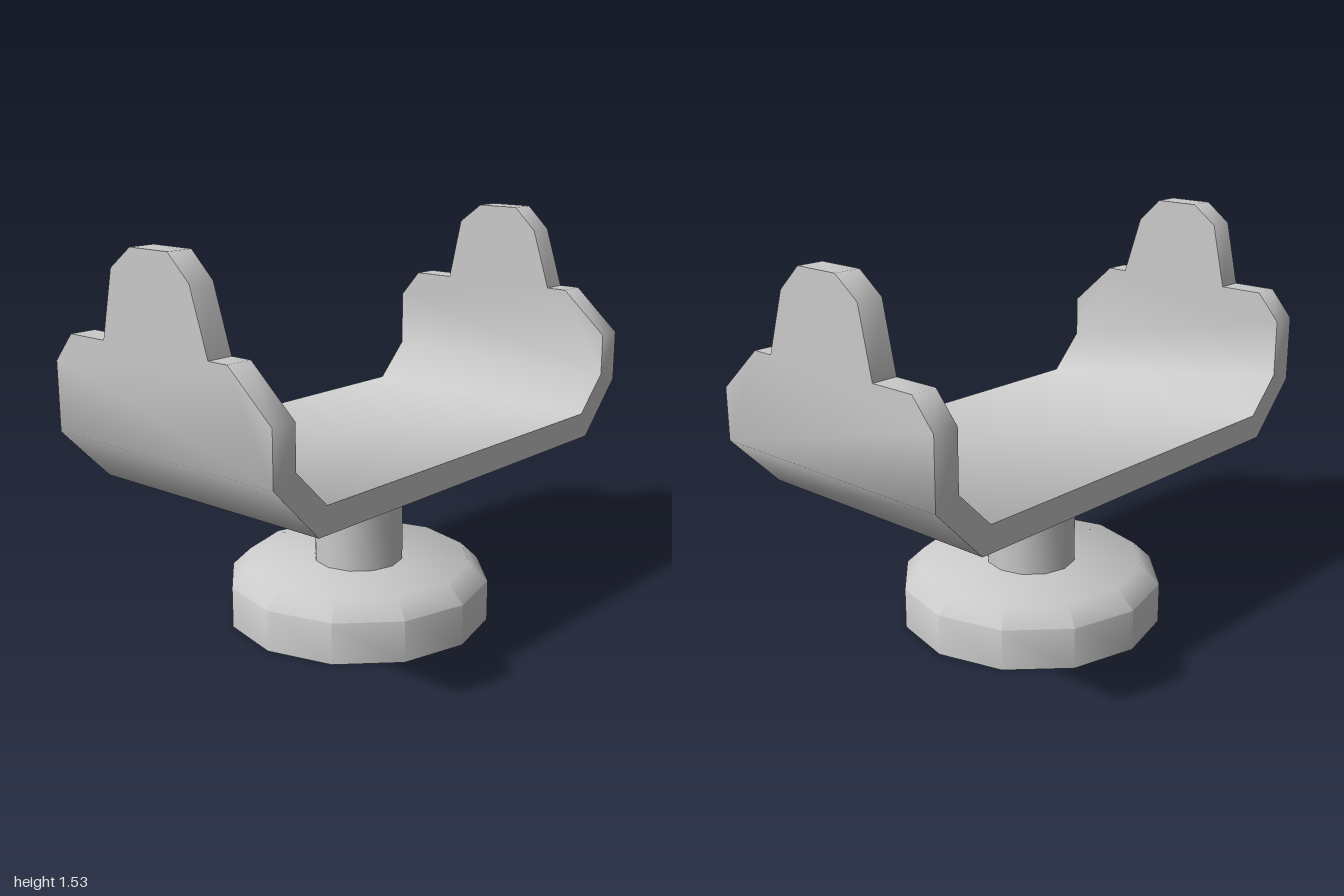
import * as THREE from 'three';
import { mergeGeometries, toCreasedNormals } from 'three/addons/utils/BufferGeometryUtils.js';

const CREASE = 0.9; // bends of 45 degrees stay smooth, right angles stay sharp
const HALF_DEPTH = 0.52;
const WALL = 0.1;
const OUTER_BEND = 0.85;
const INNER_BEND = 0.885;

const material = new THREE.MeshStandardMaterial({ color: 0xcccccc });

function makeMesh(name, geometry) {
  const mesh = new THREE.Mesh(toCreasedNormals(geometry, CREASE), material);
  mesh.name = name;
  return mesh;
}

function extrude(points, depth) {
  const shape = new THREE.Shape(points.map(([x, y]) => new THREE.Vector2(x, y)));
  return new THREE.ExtrudeGeometry(shape, { depth, bevelEnabled: false });
}

// Twelve-sided turned part from [radius, y] points, bottom to top
function turned(name, points) {
  const profile = points.map(([r, y]) => new THREE.Vector2(r, y));
  const mesh = makeMesh(name, new THREE.LatheGeometry(profile, 12));
  mesh.position.set(-0.003, 0, -0.005);
  return mesh;
}

// Floor of the cradle with its two sloping corners
function floorGeometry() {
  const right = [[0.8, 0.645], [1, OUTER_BEND], [0.9, INNER_BEND], [0.76, 0.745]];
  const left = right.map(([x, y]) => [-x, y]).reverse();
  return extrude([...right, ...left], 2 * HALF_DEPTH).translate(0, 0, -HALF_DEPTH);
}

// Upright wall with a stepped, chamfered top; points are [z, y]
function wallGeometry(outerX) {
  const outline = [
    [HALF_DEPTH, OUTER_BEND], [HALF_DEPTH, 1.045], [0.335, 1.21], [0.25, 1.21],
    [0.175, 1.44], [0.08, 1.53], [-0.1, 1.53], [-0.2, 1.455],
    [-0.255, 1.21], [-0.43, 1.21], [-HALF_DEPTH, 1.105], [-HALF_DEPTH, OUTER_BEND],
  ];
  const geometry = extrude(outline, WALL).rotateY(-Math.PI / 2);
  geometry.translate(outerX > 0 ? outerX : outerX + WALL, 0, 0);

  // Raise the inner bottom edge so the wall meets the mitred bend
  const p = geometry.attributes.position;
  for (let i = 0; i < p.count; i++) {
    if (Math.abs(p.getX(i)) < 0.95 && p.getY(i) < OUTER_BEND + 0.001) p.setY(i, INNER_BEND);
  }
  return geometry;
}

export function createModel() {
  const model = new THREE.Group();
  model.name = 'cradleOnStand';

  model.add(makeMesh('cradle', mergeGeometries([floorGeometry(), wallGeometry(1), wallGeometry(-1)])));
  model.add(turned('flange', [[0, 0.565], [0.31, 0.565], [0.31, 0.66], [0, 0.66]]));
  model.add(turned('post', [[0, 0.2], [0.175, 0.2], [0.175, 0.6], [0, 0.6]]));
  model.add(turned('base', [[0, 0], [0.512, 0], [0.512, 0.16], [0.44, 0.23], [0, 0.23]]));

  return model;
}
